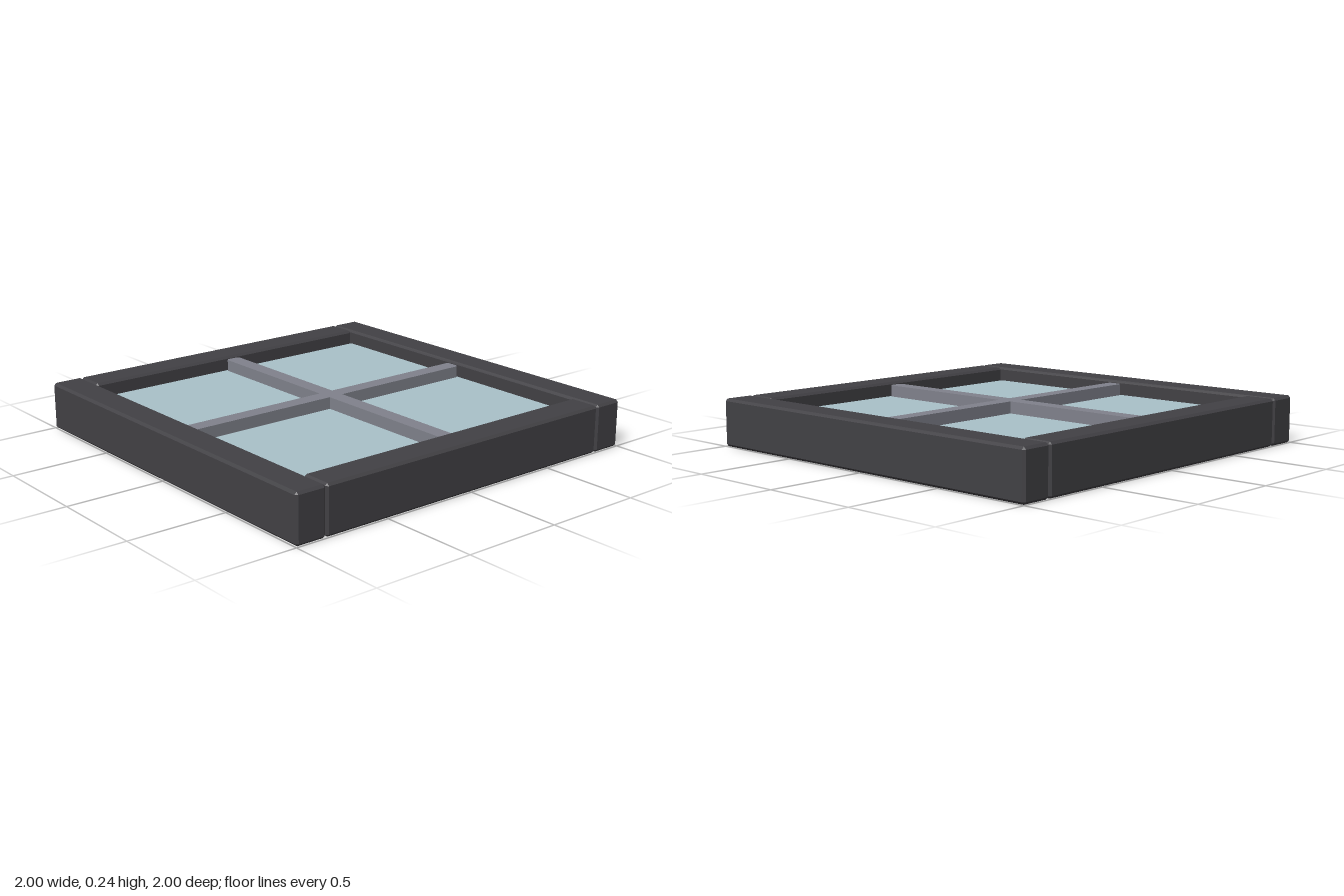
import * as THREE from 'three';
import { ConvexGeometry } from 'three/addons/geometries/ConvexGeometry.js';

const HEIGHT = 0.24;
const INNER = 0.84; // half width of the opening
const BEVEL = 0.012;

// Box with every edge chamfered: hull of three points per corner
function chamferedBox(w, h, d, c = BEVEL) {
  const points = [];
  for (const sx of [-1, 1]) for (const sy of [-1, 1]) for (const sz of [-1, 1]) {
    const x = w / 2, y = h / 2, z = d / 2;
    points.push(
      new THREE.Vector3(sx * x, sy * (y - c), sz * (z - c)),
      new THREE.Vector3(sx * (x - c), sy * y, sz * (z - c)),
      new THREE.Vector3(sx * (x - c), sy * (y - c), sz * z)
    );
  }
  return new ConvexGeometry(points);
}

// Cross-shaped plan with clipped arm ends
function crossShape(half, length, clip) {
  const arm = [[half, half], [length - clip, half], [length, half - clip],
    [length, clip - half], [length - clip, -half]];
  const points = [];
  for (let i = 0; i < 4; i++) {
    // each arm is the first one turned by a quarter, walked clockwise
    for (const [x, y] of arm) {
      points.push(new THREE.Vector2(x, y).rotateAround(new THREE.Vector2(), -i * Math.PI / 2));
    }
  }
  return new THREE.Shape(points);
}

export function createModel() {
  const frameMaterial = new THREE.MeshStandardMaterial({ name: 'charcoal frame', color: 0x424145 });
  const barMaterial = new THREE.MeshStandardMaterial({ name: 'grey bars', color: 0x80828c });
  const glassMaterial = new THREE.MeshStandardMaterial({ name: 'pale blue glass', color: 0xaac1c9 });

  const model = new THREE.Group();
  model.name = 'windowPanel';
  const add = (name, geometry, material, x, y, z) => {
    const mesh = new THREE.Mesh(geometry, material);
    mesh.name = name;
    mesh.position.set(x, y, z);
    model.add(mesh);
    return mesh;
  };

  // Frame: full-width rails front and back, side rails between them
  const thick = 1 - INNER;
  const mid = 1 - thick / 2;
  const longRail = chamferedBox(2, HEIGHT, thick);
  const sideRail = chamferedBox(thick, HEIGHT, 2 * INNER);
  add('frontRail', longRail, frameMaterial, 0, HEIGHT / 2, mid);
  add('backRail', longRail, frameMaterial, 0, HEIGHT / 2, -mid);
  add('leftRail', sideRail, frameMaterial, mid, HEIGHT / 2, 0);
  add('rightRail', sideRail, frameMaterial, -mid, HEIGHT / 2, 0);

  // Glass pane filling the opening
  add('glassPane', new THREE.BoxGeometry(2 * INNER, 0.07, 2 * INNER), glassMaterial, 0, 0.13, 0);

  // Crossed glazing bars, standing out above and below the glass
  const bars = new THREE.ExtrudeGeometry(crossShape(0.04, INNER, 0.012), { depth: 0.195, bevelEnabled: false });
  bars.rotateX(-Math.PI / 2);
  add('glazingBars', bars, barMaterial, 0, 0.03, 0);

  return model;
}
